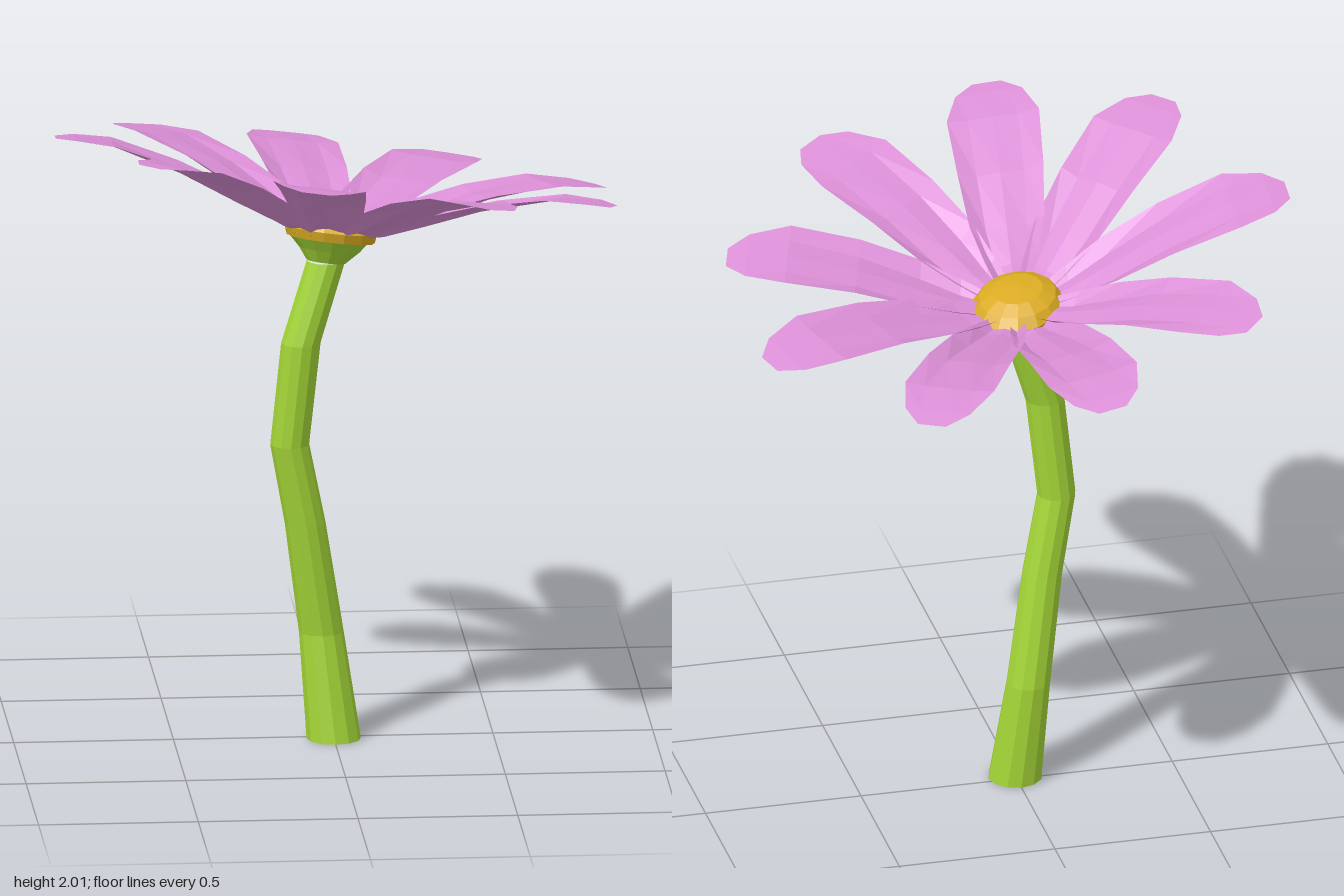
import * as THREE from 'three';

const material = (color, side = THREE.FrontSide) =>
  new THREE.MeshStandardMaterial({ color, flatShading: true, side });

// The flower head leans: height rises towards the front left.
const lean = (x, z) => -0.13 * x + 0.15 * z;

// Surface through rows of points; every row has the same number of points.
function skin(rows) {
  const n = rows[0].length;
  const index = [];
  for (let r = 0; r < rows.length - 1; r++) {
    for (let i = 0; i < n - 1; i++) {
      const a = r * n + i, b = a + n;
      index.push(a, b, a + 1, a + 1, b, b + 1);
    }
  }
  const geometry = new THREE.BufferGeometry();
  geometry.setAttribute('position', new THREE.Float32BufferAttribute(rows.flat(2), 3));
  geometry.setIndex(index);
  geometry.computeVertexNormals();
  return geometry;
}

// Round loft through rings [x, y, z, radius], bottom to top.
function loft(rings, sides, tilted = false) {
  return skin(rings.map(([x, y, z, r]) =>
    Array.from({ length: sides + 1 }, (_, i) => {
      const a = (i % sides) / sides * Math.PI * 2;
      const px = x + r * Math.cos(a), pz = z + r * Math.sin(a);
      return [px, y + (tilted ? lean(px, pz) : 0), pz];
    })));
}

const CENTRE = [-0.01, 0.03];

// Petal rows: [share of length, height, half width, edge curl]
const PETAL = [
  [0.08, 1.615, 0.05, 0.02],
  [0.2, 1.64, 0.085, 0.035],
  [0.34, 1.69, 0.118, 0.035],
  [0.55, 1.77, 0.135, 0.022],
  [0.79, 1.835, 0.145, 0.008],
  [0.93, 1.845, 0.105, 0],
  [1, 1.84, 0.045, 0],
];
// Lift across the petal: curled edges and a soft middle rib
const ACROSS = [[-1, 1], [-0.55, 0.1], [0, 0.35], [0.55, 0.1], [1, 1]];

function petalGeometry(tipX, tipZ, offset) {
  const dx = tipX - CENTRE[0], dz = tipZ - CENTRE[1];
  const length = Math.hypot(dx, dz);
  const sx = -dz / length, sz = dx / length;
  return skin(PETAL.map(([t, y, half, curl]) =>
    ACROSS.map(([u, lift]) => {
      const x = CENTRE[0] + dx * t + sx * half * u;
      const z = CENTRE[1] + dz * t + sz * half * u;
      return [x, y + curl * lift + offset * (1 - t) + lean(x, z), z];
    })));
}

export function createModel() {
  const model = new THREE.Group();
  model.name = 'flower';
  const add = (name, geometry, mat, parent = model) => {
    const mesh = new THREE.Mesh(geometry, mat);
    mesh.name = name;
    parent.add(mesh);
  };
  const green = material(0xa4d637);
  const pink = material(0xdb8fd6, THREE.DoubleSide);

  // Bent stem with a closed foot
  add('stem', loft([
    [0, 0, 0.02, 0],
    [0, 0, 0.02, 0.085],
    [-0.037, 0.34, -0.005, 0.07],
    [-0.09, 0.7, 0.03, 0.064],
    [-0.14, 0.96, 0.05, 0.061],
    [-0.106, 1.29, 0.062, 0.062],
    [-0.025, 1.55, 0.04, 0.061],
  ], 12), green);

  // Cup under the petals
  add('calyx', loft([
    [-0.025, 1.535, 0.04, 0.061],
    [-0.015, 1.575, 0.035, 0.095],
    [-0.015, 1.625, 0.03, 0.138],
    [-0.015, 1.632, 0.03, 0],
  ], 12, true), green);

  // Domed centre
  add('flowerCentre', loft([
    [...[CENTRE[0], 1.61, CENTRE[1]], 0.138],
    [...[CENTRE[0], 1.64, CENTRE[1]], 0.145],
    [...[CENTRE[0], 1.67, CENTRE[1]], 0.122],
    [...[CENTRE[0], 1.692, CENTRE[1]], 0.08],
    [...[CENTRE[0], 1.7, CENTRE[1]], 0],
  ], 14, true), material(0xd9aa22));

  // Nine petals, each aimed at its tip
  const petals = new THREE.Group();
  petals.name = 'petals';
  model.add(petals);
  const tips = [
    [-0.09, -0.89], [0.46, -0.76], [0.86, -0.27], [0.855, 0.31], [0.47, 0.785],
    [-0.12, 0.88], [-0.62, 0.6], [-0.87, 0], [-0.61, -0.63],
  ];
  tips.forEach(([x, z], i) =>
    add(`petal${i + 1}`, petalGeometry(x, z, (i % 3) * 0.008), pink, petals));

  return model;
}
